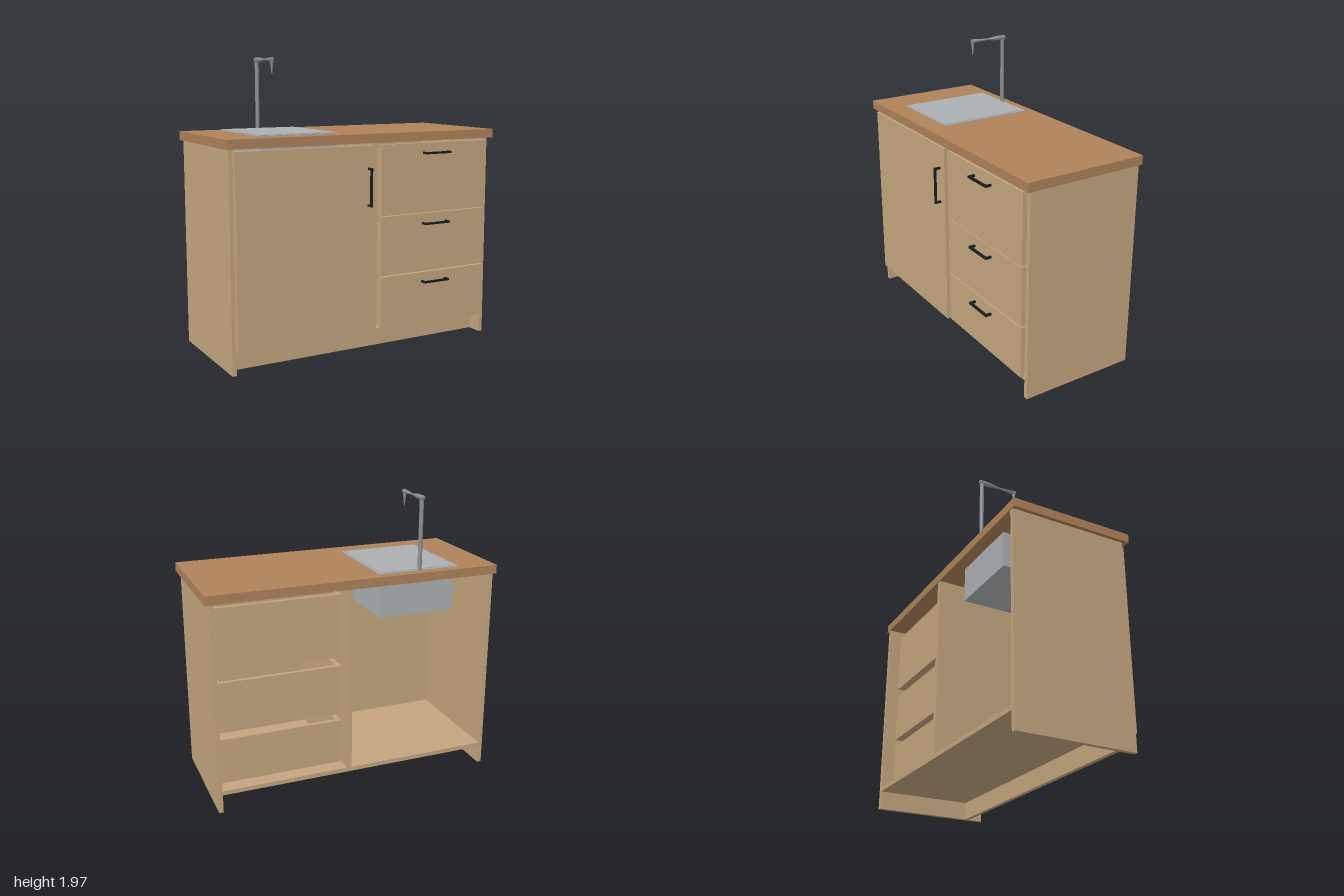
import * as THREE from 'three';

const material = (name, color) => {
  const m = new THREE.MeshStandardMaterial({ color });
  m.name = name;
  return m;
};

export function createModel() {
  const root = new THREE.Group();
  root.name = 'sinkCabinet';
  const oak = material('oak', 0xc4a67e);
  const worktopWood = material('worktopWood', 0xae825a);
  const steel = material('steel', 0xacb0b3);
  const chrome = material('chrome', 0x8c9093);
  const black = material('blackMetal', 0x161c1e);

  const group = (name) => {
    const g = new THREE.Group();
    g.name = name;
    root.add(g);
    return g;
  };
  // Box given by its extents on each axis
  const box = (name, mat, [x0, x1], [y0, y1], [z0, z1], parent = root) => {
    const mesh = new THREE.Mesh(new THREE.BoxGeometry(x1 - x0, y1 - y0, z1 - z0), mat);
    mesh.position.set((x0 + x1) / 2, (y0 + y1) / 2, (z0 + z1) / 2);
    mesh.name = name;
    parent.add(mesh);
    return mesh;
  };

  // Carcass, open at the back
  const depth = [-0.445, 0.37];
  box('leftSidePanel', oak, [0.945, 0.975], [0, 1.415], depth);
  box('rightSidePanel', oak, [-0.975, -0.945], [0, 1.415], depth);
  box('bottomPanel', oak, [-0.945, 0.945], [0.125, 0.155], depth);
  box('kickBoard', oak, [-0.945, 0.945], [0, 0.125], [0.235, 0.265]);
  box('divider', oak, [0.045, 0.08], [0.155, 1.415], [-0.445, 0.355]);
  box('worktop', worktopWood, [-1, 1], [1.415, 1.475], [-0.45, 0.405]);

  // Bracket handle: a bar on two short posts, centred on the origin
  const handle = (name, length, parent) => {
    const g = new THREE.Group();
    g.name = name;
    const t = 0.007, h = length / 2;
    box('handleBar', black, [-h, h], [-t, t], [0.031, 0.045], g);
    for (const s of [-1, 1]) {
      const c = s * (h - t);
      box('handlePost', black, [c - t, c + t], [-t, t], [0, 0.031], g);
    }
    parent.add(g);
    return g;
  };

  // Door
  const door = group('door');
  box('doorPanel', oak, [-0.948, 0.043], [0.13, 1.4], [0.37, 0.4], door);
  const doorHandle = handle('doorHandle', 0.255, door);
  doorHandle.rotation.z = Math.PI / 2;
  doorHandle.position.set(-0.015, 1.128, 0.4);

  // Drawers: front, open-topped box and handle
  const drawers = [
    { name: 'bottomDrawer', front: [0.155, 0.509], inner: [0.165, 0.475], grip: 0.445 },
    { name: 'middleDrawer', front: [0.517, 0.92], inner: [0.525, 0.87], grip: 0.852 },
    { name: 'topDrawer', front: [0.925, 1.4], inner: [0.93, 1.365], grip: 1.333 },
  ];
  for (const { name, front, inner, grip } of drawers) {
    const g = group(name);
    const [y0, y1] = inner, t = 0.027;
    box('drawerFront', oak, [0.085, 0.943], front, [0.37, 0.4], g);
    box('drawerFloor', oak, [0.09 + t, 0.935 - t], [y0, y0 + t], [-0.36 + t, 0.37], g);
    box('drawerBack', oak, [0.09, 0.935], inner, [-0.36, -0.36 + t], g);
    for (const x of [0.09, 0.935 - t]) {
      box('drawerSide', oak, [x, x + t], [y0, y1], [-0.36 + t, 0.37], g);
    }
    handle('drawerHandle', 0.205, g).position.set(0.513, grip, 0.4);
  }

  // Sink: rim, covered top and basin under the worktop
  const sink = group('sink');
  box('sinkRim', steel, [-0.735, -0.163], [1.475, 1.48], [-0.39, 0.265], sink);
  box('sinkTop', steel, [-0.72, -0.178], [1.48, 1.484], [-0.375, 0.25], sink);
  box('sinkBasin', steel, [-0.717, -0.182], [1.17, 1.415], [-0.365, 0.245], sink);

  // Faucet: round post, spout pinched in the middle, tapered nozzle
  const faucet = group('faucet');
  faucet.position.set(-0.453, 0, -0.383);
  const tube = (name, rTop, rBottom, length) => {
    const mesh = new THREE.Mesh(new THREE.CylinderGeometry(rTop, rBottom, length, 12), chrome);
    mesh.name = name;
    faucet.add(mesh);
    return mesh;
  };
  tube('faucetPost', 0.014, 0.014, 0.49).position.y = 1.72;
  const profile = [[0, -0.016], [0.017, -0.016], [0.015, 0.06], [0.006, 0.13], [0.008, 0.16], [0.015, 0.26], [0, 0.26]];
  const spout = new THREE.Mesh(
    new THREE.LatheGeometry(profile.map(([r, y]) => new THREE.Vector2(r, y)), 12), chrome);
  spout.name = 'faucetSpout';
  spout.rotation.x = Math.PI / 2;
  spout.position.y = 1.954;
  faucet.add(spout);
  tube('faucetNozzle', 0.013, 0.003, 0.1).position.set(0, 1.908, 0.25);

  return root;
}
